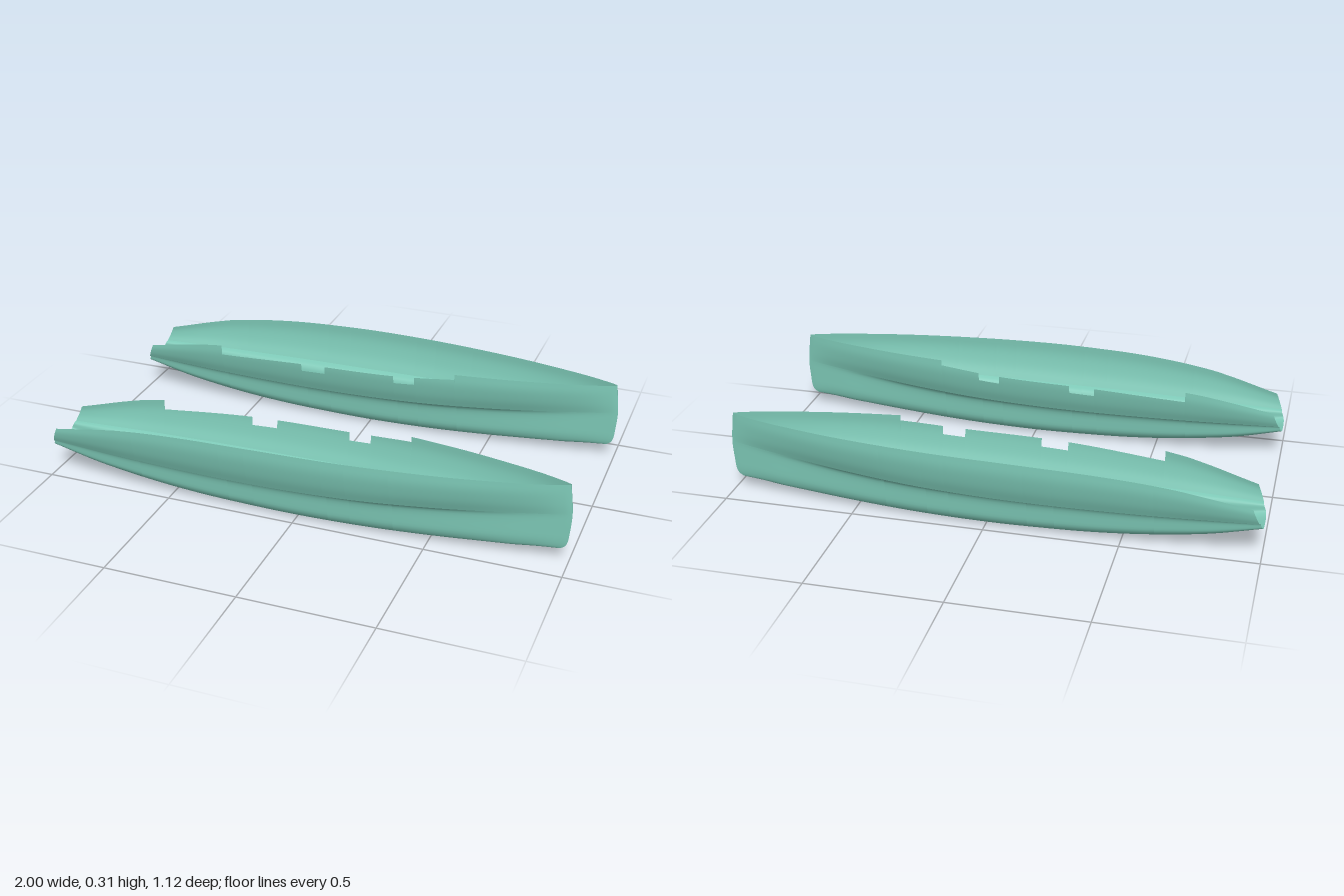
import * as THREE from 'three';

// Smooth interpolation through [x, value] pairs
function interp(pts, x) {
  const n = pts.length;
  if (x <= pts[0][0]) return pts[0][1];
  if (x >= pts[n - 1][0]) return pts[n - 1][1];
  let i = 0;
  while (x > pts[i + 1][0]) i++;
  const slope = (a, b) => (pts[b][1] - pts[a][1]) / (pts[b][0] - pts[a][0]);
  const m0 = slope(Math.max(i - 1, 0), i + 1);
  const m1 = slope(i, Math.min(i + 2, n - 1));
  const h = pts[i + 1][0] - pts[i][0], t = (x - pts[i][0]) / h;
  const t2 = t * t, t3 = t2 * t;
  return (2 * t3 - 3 * t2 + 1) * pts[i][1] + (t3 - 2 * t2 + t) * h * m0
    + (3 * t2 - 2 * t3) * pts[i + 1][1] + (t3 - t2) * h * m1;
}

// Hull lines along the length (stern -1, bow 1)
const keelY = [[-1, 0.11], [-0.8, 0.06], [-0.6, 0.029], [-0.4, 0.011], [-0.2, 0.003], [0, 0], [0.25, 0.005], [0.5, 0.017], [0.8, 0.036], [1, 0.05]];
const chineY = [[-1, 0.146], [-0.4, 0.144], [0, 0.147], [0.5, 0.164], [1, 0.195]];
const sheerY = [[-1, 0.207], [-0.8, 0.249], [-0.6, 0.28], [-0.4, 0.298], [-0.2, 0.306], [0, 0.31], [1, 0.312]];
const sheerW = [[-1, 0.098], [-0.8, 0.123], [-0.6, 0.14], [-0.4, 0.152], [-0.2, 0.157], [0, 0.156], [0.2, 0.147], [0.4, 0.128], [0.6, 0.1], [0.8, 0.06], [0.9, 0.036], [0.98, 0.011], [1, 0.002]];
const chineW = [[-1, 0.085], [-0.6, 0.112], [-0.2, 0.124], [0.2, 0.115], [0.5, 0.084], [0.8, 0.039], [0.97, 0.009], [1, 0.002]];
const lowerW = [[-1, 0.068], [-0.6, 0.078], [-0.2, 0.083], [0.2, 0.08], [0.5, 0.065], [0.8, 0.034], [0.97, 0.008], [1, 0.002]];
// Stem profile: x of the bow at each height
const stemX = [[0.045, 0.945], [0.052, 0.968], [0.07, 0.988], [0.12, 0.996], [0.2, 1], [0.312, 0.988]];
// Cross-section of the lower body: width and height fractions by parameter
const lowA = [[0, 0], [0.2, 0.4], [0.35, 0.72], [0.5, 0.95], [0.65, 1], [1, 1]];
const lowFlare = [[0.6, 0], [0.78, 0.1], [0.9, 0.38], [1, 1]];
const lowH = [[0, 0], [0.2, 0.015], [0.35, 0.09], [0.5, 0.28], [0.65, 0.52], [0.78, 0.74], [0.9, 0.91], [1, 1]];
const topFlare = [[0, 0], [0.27, 0.53], [0.55, 0.88], [0.76, 1.02], [1, 1]];
// Cut-down inner edge and the two deeper notches in it
const cut = [-0.62, 0.375];
const notches = [[-0.26, -0.16], [0.13, 0.215]];
const cutY = [[-0.62, 0.237], [-0.26, 0.262], [0.13, 0.273], [0.375, 0.29]];

// Raked stern and rounded stem
function rakeX(u, y) {
  if (u > 0.8) return 0.8 + (u - 0.8) * (interp(stemX, y) - 0.8) / 0.2;
  return u + 0.4 * (y - 0.11) * Math.max(0, 1 - (u + 1) / 0.3);
}

function lowerPoint(u, s) {
  const v = Math.abs(s), L = interp(lowerW, u), C = interp(chineW, u);
  const k = interp(keelY, u), h = interp(chineY, u) - k;
  const y = k + h * interp(lowH, v);
  const w = L * interp(lowA, v) + (C - L) * interp(lowFlare, v);
  return [rakeX(u, y), y, Math.sign(s) * w];
}

function upperPoint(u, v, notched) {
  const y0 = interp(chineY, u), y1 = interp(sheerY, u);
  let top = 1;
  if (notched && u > cut[0] && u < cut[1]) {
    let edge = interp(cutY, u);
    if (notches.some(([a, b]) => u > a && u < b)) edge -= 0.032;
    top = (edge - y0) / (y1 - y0);
  }
  const t = v * top, C = interp(chineW, u);
  const y = y0 + (y1 - y0) * t;
  return [rakeX(u, y), y, C + (interp(sheerW, u) - C) * interp(topFlare, t)];
}

// Stations along the hull, doubled where the inner edge steps
const stations = [];
for (let i = 0; i <= 80; i++) stations.push(-1 + i / 40);
stations.push(0.985, 0.994);
for (const x of [...cut, ...notches.flat()]) stations.push(x - 0.0004, x + 0.0004);
stations.sort((a, b) => a - b);

// Skin from a grid of points
function skin(name, us, vs, point, flip, material) {
  const pos = [], index = [], n = vs.length;
  for (const u of us) for (const v of vs) pos.push(...point(u, v));
  for (let i = 0; i < us.length - 1; i++) {
    for (let j = 0; j < n - 1; j++) {
      const a = i * n + j, b = a + n, c = b + 1, d = a + 1;
      if (flip) index.push(a, c, b, a, d, c);
      else index.push(a, b, c, a, c, d);
    }
  }
  const geo = new THREE.BufferGeometry();
  geo.setAttribute('position', new THREE.Float32BufferAttribute(pos, 3));
  geo.setIndex(index);
  geo.computeVertexNormals();
  const mesh = new THREE.Mesh(geo, material);
  mesh.name = name;
  return mesh;
}

const range = (a, b, n) => Array.from({ length: n + 1 }, (_, i) => a + (b - a) * i / n);

export function createModel() {
  const model = new THREE.Group();
  model.name = 'twinHulls';
  const material = new THREE.MeshStandardMaterial({ color: 0x7cc7b5, side: THREE.DoubleSide });

  for (const side of [1, -1]) {
    const hull = new THREE.Group();
    hull.name = side > 0 ? 'frontHull' : 'backHull';
    hull.position.z = side * 0.4;
    // Lower body from chine to chine
    hull.add(skin('lowerHull', stations, range(-1, 1, 40), lowerPoint, false, material));
    // Topsides, the inner one notched
    for (const d of [1, -1]) {
      const inner = d !== side;
      const point = (u, v) => {
        const [x, y, w] = upperPoint(u, v, inner);
        return [x, y, d * w];
      };
      hull.add(skin(inner ? 'innerTopside' : 'outerTopside', stations, range(0, 1, 14), point, d < 0, material));
    }
    model.add(hull);
  }
  return model;
}
